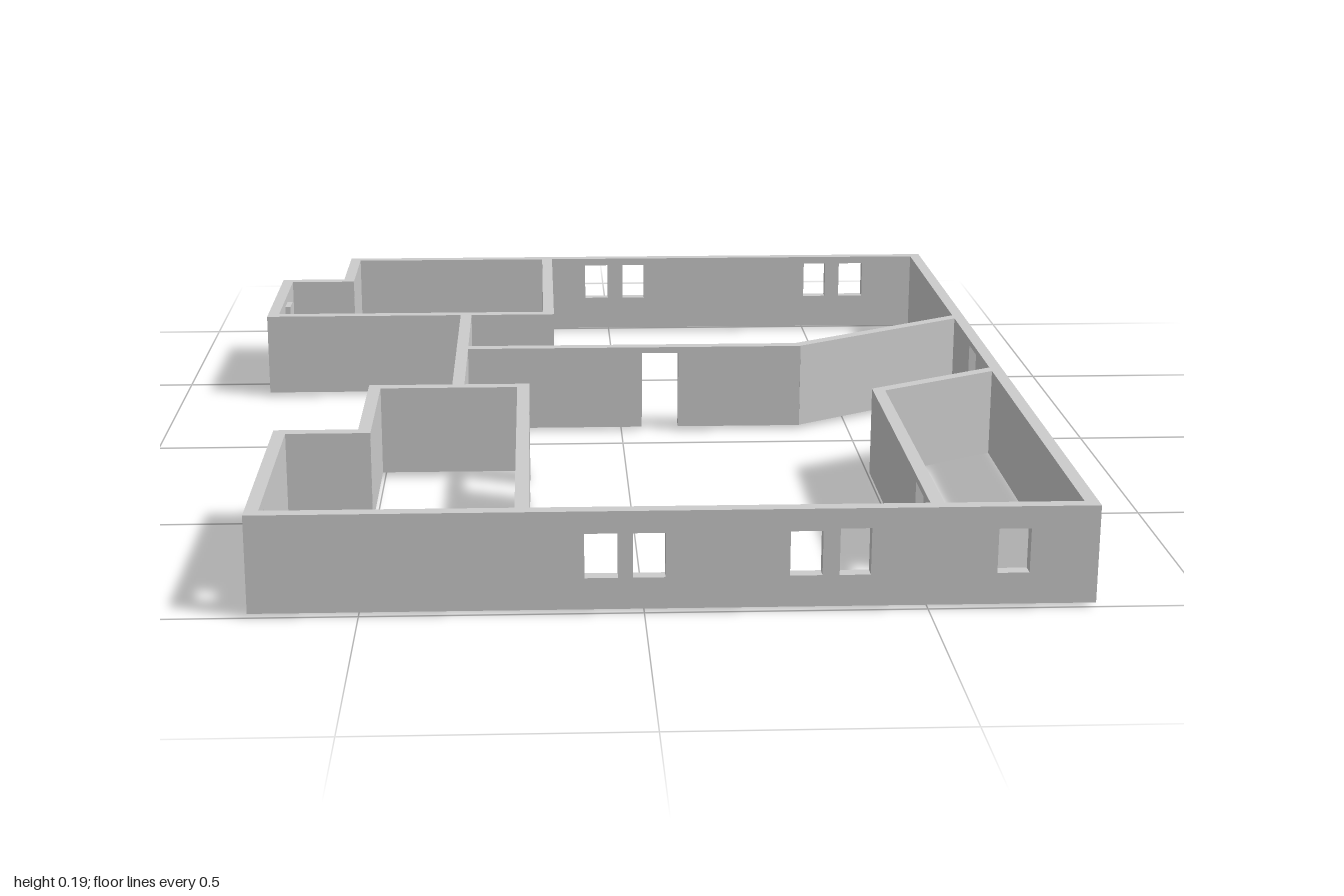
import * as THREE from 'three';

const BASE = 0.008, TOP = 0.189, THICK = 0.025;
const DOOR_TOP = 0.176;

export function createModel() {
  const model = new THREE.Group();
  const material = new THREE.MeshStandardMaterial({ color: 0xcccccc, flatShading: true });

  // Wall along a centre line; doors [from, to] cut to the floor, windows [from, to, sill, head].
  // Opening positions are measured along x or z, whichever the wall follows.
  function wall(name, [x1, z1], [x2, z2], { doors = [], windows = [] } = {}) {
    const dx = x2 - x1, dz = z2 - z1;
    const length = Math.hypot(dx, dz);
    const origin = Math.abs(dx) > Math.abs(dz) ? x1 : z1;
    const shape = new THREE.Shape();
    shape.moveTo(0, BASE);
    for (const [a, b] of doors) {
      shape.lineTo(a - origin, BASE);
      shape.lineTo(a - origin, DOOR_TOP);
      shape.lineTo(b - origin, DOOR_TOP);
      shape.lineTo(b - origin, BASE);
    }
    shape.lineTo(length, BASE);
    shape.lineTo(length, TOP);
    shape.lineTo(0, TOP);
    shape.closePath();
    for (const [a, b, sill, head] of windows) {
      const hole = new THREE.Path();
      hole.moveTo(a - origin, sill);
      hole.lineTo(a - origin, head);
      hole.lineTo(b - origin, head);
      hole.lineTo(b - origin, sill);
      hole.closePath();
      shape.holes.push(hole);
    }
    const geometry = new THREE.ExtrudeGeometry(shape, { depth: THICK, bevelEnabled: false });
    geometry.translate(0, 0, -THICK / 2);
    const mesh = new THREE.Mesh(geometry, material);
    mesh.name = name;
    mesh.position.set(x1, 0, z1);
    mesh.rotation.y = -Math.atan2(dz, dx);
    model.add(mesh);
  }

  function block(name, x, y, z, w, h, d) {
    const mesh = new THREE.Mesh(new THREE.BoxGeometry(w, h, d), material);
    mesh.name = name;
    mesh.position.set(x, y, z);
    model.add(mesh);
  }

  // Long outer walls
  wall('frontWall', [-0.693, 0.9875], [0.798, 0.9875], {
    windows: [
      [-0.105, -0.046, 0.066, 0.148], [-0.02, 0.037, 0.066, 0.148],
      [0.255, 0.312, 0.066, 0.148], [0.342, 0.397, 0.066, 0.152],
      [0.62, 0.677, 0.066, 0.148],
    ],
  });
  wall('backWall', [-0.655, -0.9875], [0.798, -0.9875], {
    windows: [[-0.06, -0.002], [0.035, 0.09], [0.5, 0.555], [0.59, 0.65]]
      .map(([a, b]) => [a, b, 0.087, 0.172]),
  });
  wall('entranceWall', [0.7855, -1], [0.7855, 1], { doors: [[-0.135, -0.055]] });

  // Back room
  wall('backRoomStepSide', [-0.643, -1], [-0.643, -0.745]);
  wall('backRoomStep', [-0.804, -0.757], [-0.631, -0.757]);
  wall('backRoomOuterWall', [-0.7915, -0.769], [-0.7915, -0.4], {
    windows: [[-0.61, -0.557, 0.087, 0.172]],
  });
  block('windowRecessPanel', -0.773, 0.13, -0.5835, 0.012, 0.085, 0.053);
  wall('backRoomFrontWall', [-0.804, -0.412], [-0.148, -0.412]);
  wall('backRoomInnerWall', [-0.157, -1], [-0.157, -0.4], { doors: [[-0.94, -0.85]] });
  block('innerWallFooting', -0.157, 0.005, -0.57, 0.02, 0.01, 0.3);

  // Middle walls
  wall('linkWall', [-0.347, -0.412], [-0.347, 0.2]);
  wall('hallWall', [-0.347, -0.108], [0.393, -0.108], { doors: [[0.045, 0.125]] });
  wall('hallDiagonalWall', [0.387, -0.108], [0.787, -0.35]);

  // Front room with stepped side
  wall('frontRoomBackWall', [-0.53, 0.198], [-0.201, 0.198]);
  wall('frontRoomStepSide', [-0.518, 0.186], [-0.518, 0.522]);
  wall('frontRoomStep', [-0.693, 0.51], [-0.506, 0.51]);
  wall('frontRoomOuterWall', [-0.681, 0.498], [-0.681, 1], {
    windows: [[0.905, 0.958, 0.087, 0.168]],
  });
  wall('frontRoomInnerWall', [-0.213, 0.186], [-0.213, 1], { doors: [[0.275, 0.365]] });

  // Small side room
  wall('sideRoomWall', [0.514, 0.25], [0.514, 1], { doors: [[0.82, 0.905]] });
  wall('sideRoomDiagonalWall', [0.509, 0.259], [0.787, 0.102]);

  return model;
}
